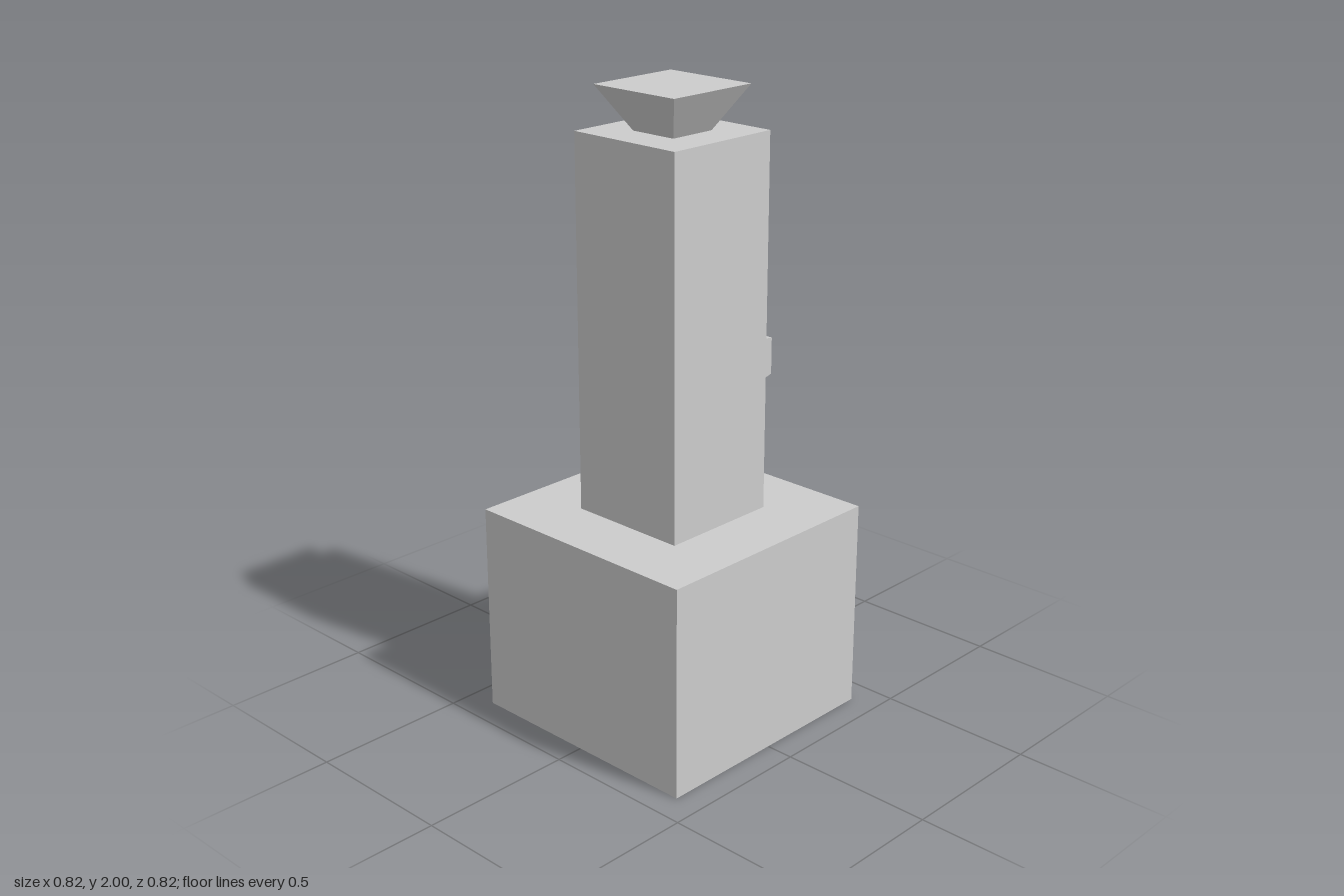
import * as THREE from 'three';

const material = new THREE.MeshStandardMaterial({ color: 0xcccccc, flatShading: true });

// Box standing on y = 0 whose top face is scaled by (topX, topZ)
function taperedBox(width, height, depth, topX = 1, topZ = 1) {
  const geometry = new THREE.BoxGeometry(width, height, depth);
  geometry.translate(0, height / 2, 0);
  const pos = geometry.attributes.position;
  for (let i = 0; i < pos.count; i++) {
    if (pos.getY(i) > height / 2) {
      pos.setX(i, pos.getX(i) * topX);
      pos.setZ(i, pos.getZ(i) * topZ);
    }
  }
  geometry.computeVertexNormals();
  return geometry;
}

function addPart(group, name, geometry, x, y, z) {
  const mesh = new THREE.Mesh(geometry, material);
  mesh.name = name;
  mesh.position.set(x, y, z);
  group.add(mesh);
  return mesh;
}

export function createModel() {
  const group = new THREE.Group();
  group.name = 'blockTower';

  // Square base and column
  addPart(group, 'base', taperedBox(0.82, 0.68, 0.82), 0, 0, 0);
  addPart(group, 'column', taperedBox(0.4, 1.185, 0.4), 0, 0.68, 0);

  // Cap flaring upwards
  addPart(group, 'flaredCap', taperedBox(0.16, 0.135, 0.16, 2, 2), 0, 1.865, 0);

  // Side peg narrowing outwards, laid along +x
  const peg = addPart(group, 'sidePeg', taperedBox(0.18, 0.205, 0.137, 0.67, 0.68), 0.2, 1.09, -0.001);
  peg.rotation.z = -Math.PI / 2;

  return group;
}
